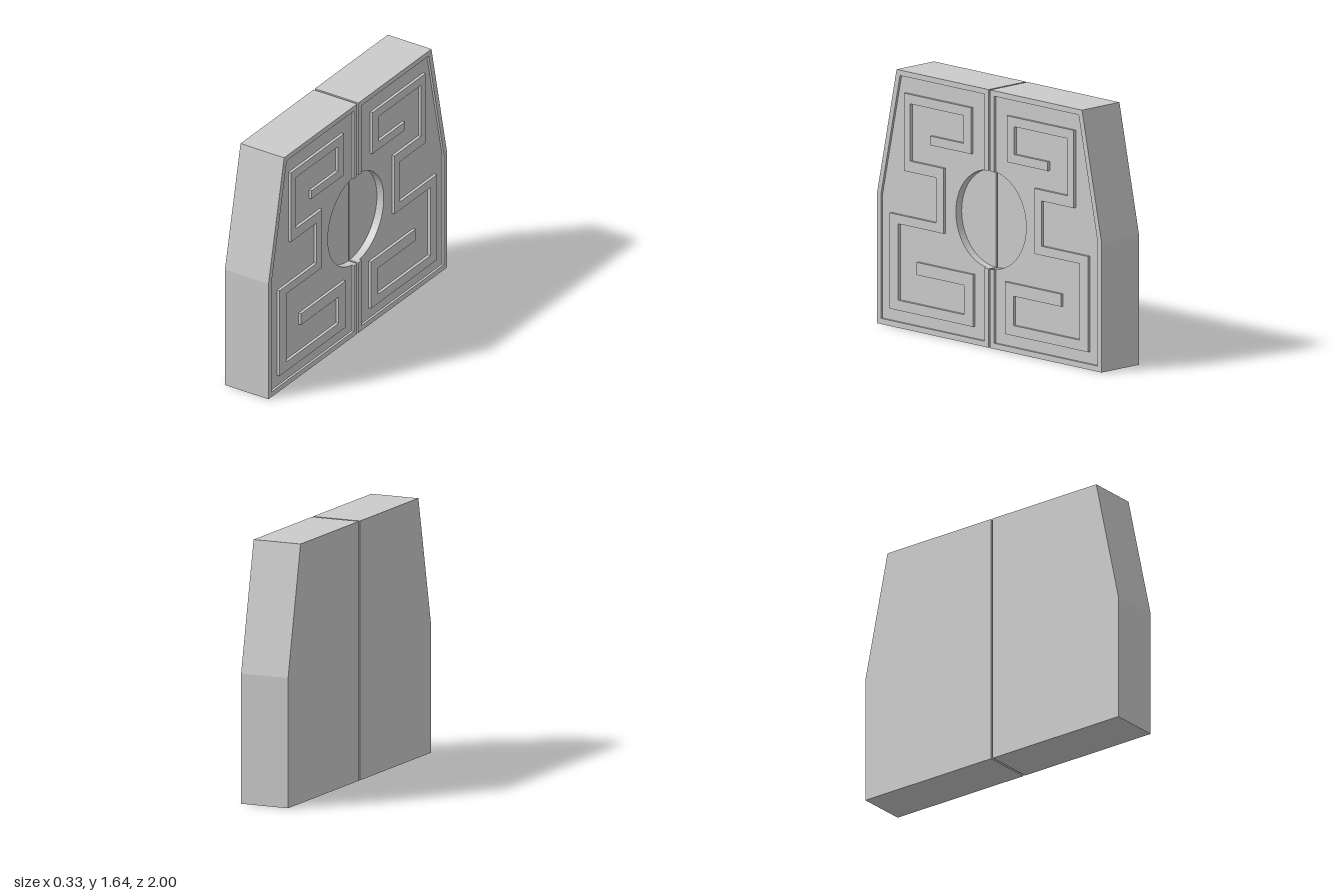
import * as THREE from 'three';

const GAP = 0.007;            // half of the slit between the two door leaves
const CY = 0.815, R = 0.313;  // round recess shared by both leaves
const RIM = 0.043;            // inner edge of the rim beside the slit
const BACK = -0.165, FLOOR = 0.095, PANEL = 0.146, FRONT = 0.161, RAISED = 0.165;

// Profiles are [distance from the centre line, height]
const outline = [[GAP, 0], [1, 0], [1, 0.825], [0.825, 1.645], [GAP, 1.645]];
const inner = [[0.795, 1.61], [0.965, 0.822], [0.965, 0.036]];
const meander = [
  [0.755, 1.505], [0.16, 1.505], [0.16, 1.21], [0.523, 1.21], [0.523, 1.268], [0.225, 1.268],
  [0.225, 1.445], [0.7, 1.445], [0.7, 1.08], [0.404, 1.08], [0.404, 0.664], [0.806, 0.664],
  [0.806, 0.177], [0.22, 0.177], [0.22, 0.364], [0.642, 0.364], [0.642, 0.444], [0.142, 0.444],
  [0.142, 0.112], [0.882, 0.112], [0.882, 0.722], [0.468, 0.722], [0.468, 1.01], [0.755, 1.01],
];

// Points on the round recess from the top down, starting at distance d
function arc(d, steps) {
  const a = Math.acos(d / R);
  return Array.from({ length: steps + 1 }, (_, i) => {
    const t = a - (2 * a * i) / steps;
    return [R * Math.cos(t), CY + R * Math.sin(t)];
  });
}

export function createModel() {
  const model = new THREE.Group();
  const material = new THREE.MeshStandardMaterial({ color: 0xcccccc });

  // Extrude a profile along x between two depths, for the leaf on the given side
  function layer(name, points, side, from, to) {
    const shape = new THREE.Shape(points.map(([d, y]) => new THREE.Vector2(-side * d, y)));
    const geometry = new THREE.ExtrudeGeometry(shape, { depth: to - from, bevelEnabled: false });
    geometry.rotateY(Math.PI / 2);
    geometry.translate(from, 0, 0);
    const mesh = new THREE.Mesh(geometry, material);
    mesh.name = name;
    return mesh;
  }

  const notch = arc(GAP, 32);
  const rimY = Math.sqrt(R * R - RIM * RIM);
  const rim = [
    ...outline, notch[0], [RIM, CY + rimY], [RIM, 1.61],
    ...inner, [RIM, 0.036], [RIM, CY - rimY], notch[notch.length - 1],
  ];

  for (const side of [1, -1]) {
    const leaf = new THREE.Group();
    leaf.name = side > 0 ? 'frontDoorLeaf' : 'rearDoorLeaf';
    leaf.add(
      layer('slab', outline, side, BACK, FLOOR),
      layer('notchedPanel', [...outline, ...notch], side, FLOOR, PANEL),
      layer('rim', rim, side, PANEL, FRONT),
      layer('meanderRelief', meander, side, PANEL, RAISED),
    );
    model.add(leaf);
  }
  return model;
}
